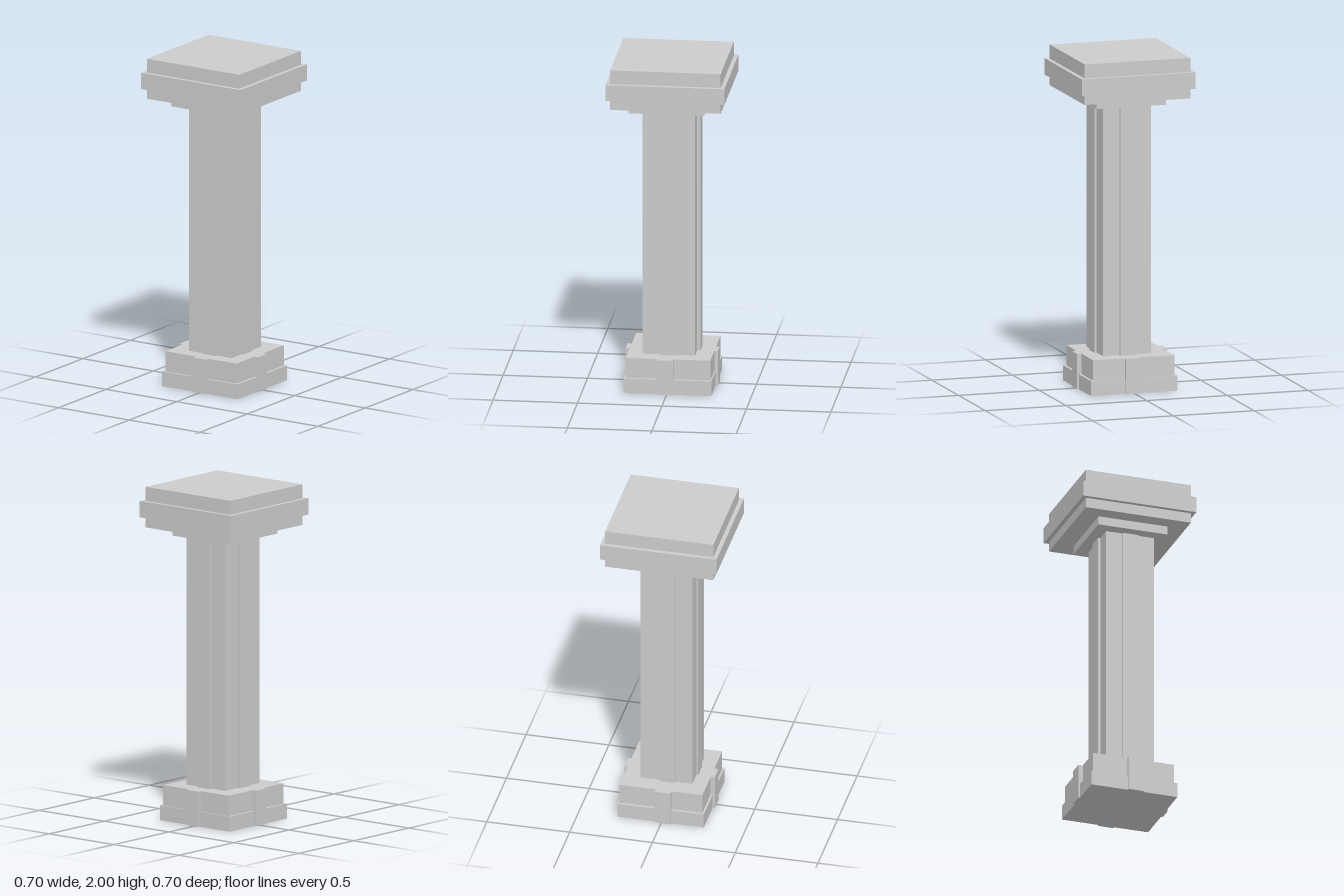
import * as THREE from 'three';

export function createModel() {
  const model = new THREE.Group();
  const material = new THREE.MeshStandardMaterial({ color: 0xcccccc, flatShading: true });

  // Box given by its limits on each axis
  function slab(name, [x0, x1], [y0, y1], [z0, z1]) {
    const mesh = new THREE.Mesh(new THREE.BoxGeometry(x1 - x0, y1 - y0, z1 - z0), material);
    mesh.position.set((x0 + x1) / 2, (y0 + y1) / 2, (z0 + z1) / 2);
    mesh.name = name;
    model.add(mesh);
  }

  // Base: wide foot, narrower block, and a cross of raised strips
  slab('baseFoot', [-0.268, 0.268], [0, 0.09], [-0.265, 0.255]);
  slab('baseBlock', [-0.252, 0.252], [0.09, 0.212], [-0.257, 0.243]);
  slab('baseSideStrips', [-0.279, 0.279], [0, 0.212], [-0.038, 0.057]);
  slab('baseFrontBackStrips', [-0.04, 0.055], [0, 0.212], [-0.278, 0.268]);

  // Shaft: square core with a raised strip down each face
  slab('shaft', [-0.141, 0.157], [0.212, 1.705], [-0.156, 0.157]);
  slab('shaftSideStrips', [-0.157, 0.172], [0.212, 1.705], [-0.038, 0.054]);
  slab('shaftFrontBackStrips', [-0.04, 0.055], [0.212, 1.705], [-0.176, 0.168]);

  // Capital: small neck and three stacked slabs
  slab('capitalNeck', [-0.215, 0.215], [1.705, 1.757], [-0.214, 0.231]);
  const tiers = [
    ['capitalLower', 0.327, 1.757, 1.818],
    ['capitalMiddle', 0.352, 1.818, 1.916],
    ['capitalTop', 0.327, 1.916, 2],
  ];
  for (const [name, r, y0, y1] of tiers) slab(name, [-r, r], [y0, y1], [-r, r]);

  return model;
}
